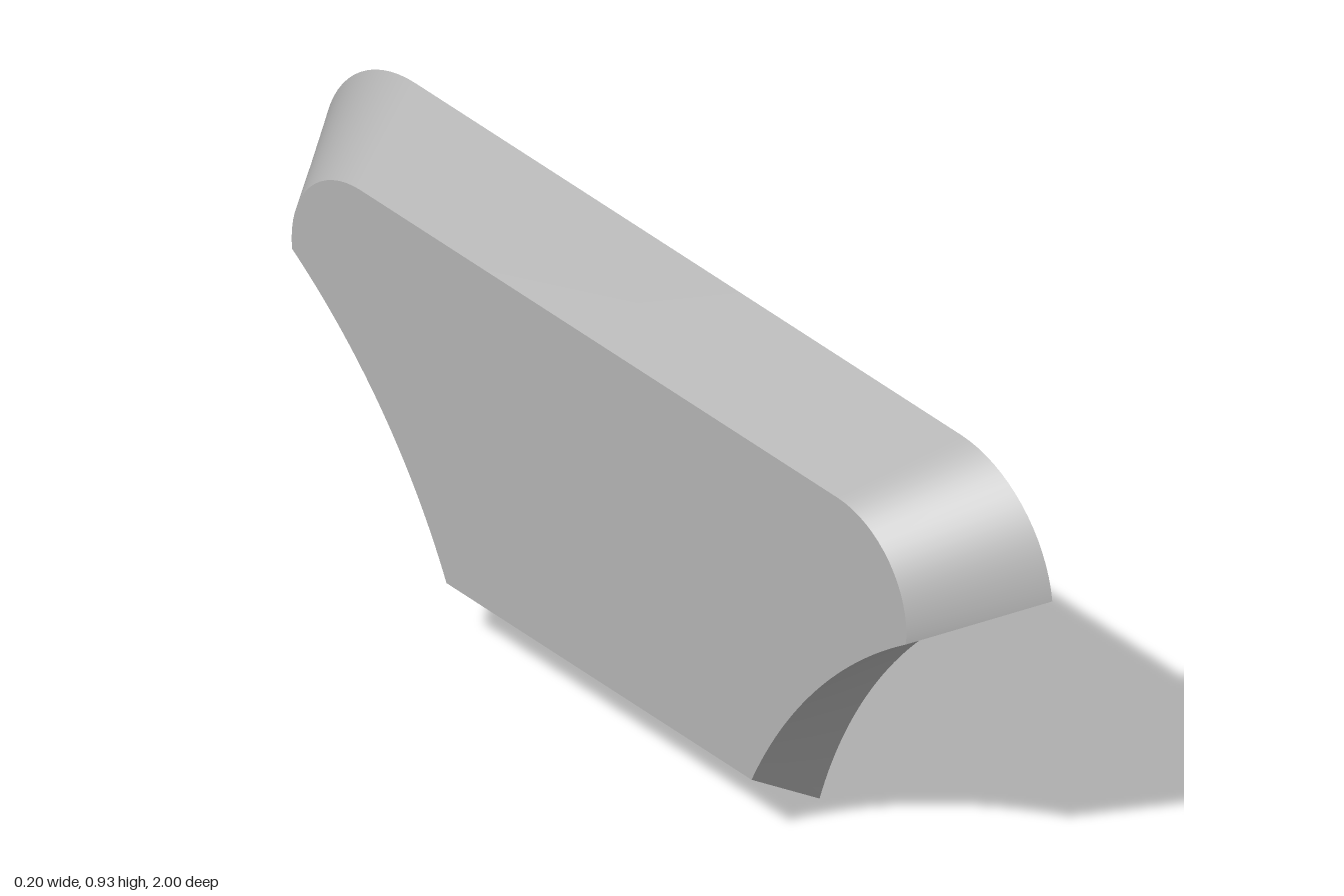
import * as THREE from 'three';
import { toCreasedNormals } from 'three/addons/utils/BufferGeometryUtils.js';

const HALF = 0.1; // half thickness along x
const HOLE = { z: 0.48, y: 0.468, r: 0.055, depth: 0.15 };

// Concave side: an upright circular cut shared by both faces
const sideAt = (y) => 1.477 - Math.sqrt(1.174 ** 2 - (y + 0.362) ** 2);

// Counter-clockwise outline: flat bottom, concave side, rounded shoulder, flat top
function outline({ bottom, tip, top, shoulder }) {
  const right = [];
  const n = 32;
  for (let i = 0; i <= n; i++) {
    const y = bottom + ((tip - bottom) * i) / n;
    right.push(new THREE.Vector2(sideAt(y), y));
  }
  const h = top - tip;
  const r = (shoulder ** 2 + h ** 2) / (2 * h);
  const cx = sideAt(tip) - shoulder;
  const cy = top - r;
  const start = Math.atan2(tip - cy, shoulder);
  for (let i = 1; i <= 16; i++) {
    const a = start + ((Math.PI / 2 - start) * i) / 16;
    right.push(new THREE.Vector2(cx + r * Math.cos(a), cy + r * Math.sin(a)));
  }
  const left = right.map((p) => new THREE.Vector2(-p.x, p.y)).reverse();
  return [...right, ...left];
}

function circle(cx, cy, r, n = 32) {
  return Array.from({ length: n }, (_, i) => {
    const a = (i / n) * Math.PI * 2;
    return new THREE.Vector2(cx + r * Math.cos(a), cy + r * Math.sin(a));
  });
}

// Wall joining two closed rings, each lying at its own x
function band(ringA, xA, ringB, xB) {
  const pos = [];
  const put = (p, x) => pos.push(x, p.y, -p.x);
  ringA.forEach((a, i) => {
    const j = (i + 1) % ringA.length;
    put(a, xA); put(ringA[j], xA); put(ringB[j], xB);
    put(a, xA); put(ringB[j], xB); put(ringB[i], xB);
  });
  const g = new THREE.BufferGeometry();
  g.setAttribute('position', new THREE.Float32BufferAttribute(pos, 3));
  return toCreasedNormals(g, Math.PI / 7);
}

// Flat face looking along +x or -x
function face(points, x, dir, holes = []) {
  const shape = new THREE.Shape(points);
  holes.forEach((h) => shape.holes.push(new THREE.Path(h)));
  return new THREE.ShapeGeometry(shape).rotateY((dir * Math.PI) / 2).translate(x, 0, 0);
}

export function createModel() {
  const grey = new THREE.MeshStandardMaterial({ color: 0xb4b4b4 });
  grey.name = 'plain grey';
  const group = new THREE.Group();
  group.name = 'bracketPlate';
  const add = (name, geometry) => {
    const mesh = new THREE.Mesh(geometry, grey);
    mesh.name = name;
    group.add(mesh);
  };

  const large = outline({ bottom: 0, tip: 0.71, top: 0.93, shoulder: 0.25 });
  const small = outline({ bottom: 0.145, tip: 0.625, top: 0.835, shoulder: 0.187 });
  const holes = [-1, 1].map((s) => circle(s * HOLE.z, HOLE.y, HOLE.r));

  // Body: large drilled face, small plain face, tapered rim
  add('drilledFace', face(large, HALF, 1, holes));
  add('plainFace', face(small, -HALF, -1));
  add('taperedRim', band(small, -HALF, large, HALF));

  // Blind holes
  holes.forEach((ring, i) => {
    const side = i ? 'back' : 'front';
    add(side + 'HoleWall', band(ring, HALF, ring, HALF - HOLE.depth));
    add(side + 'HoleFloor', face(ring, HALF - HOLE.depth, 1));
  });
  return group;
}
